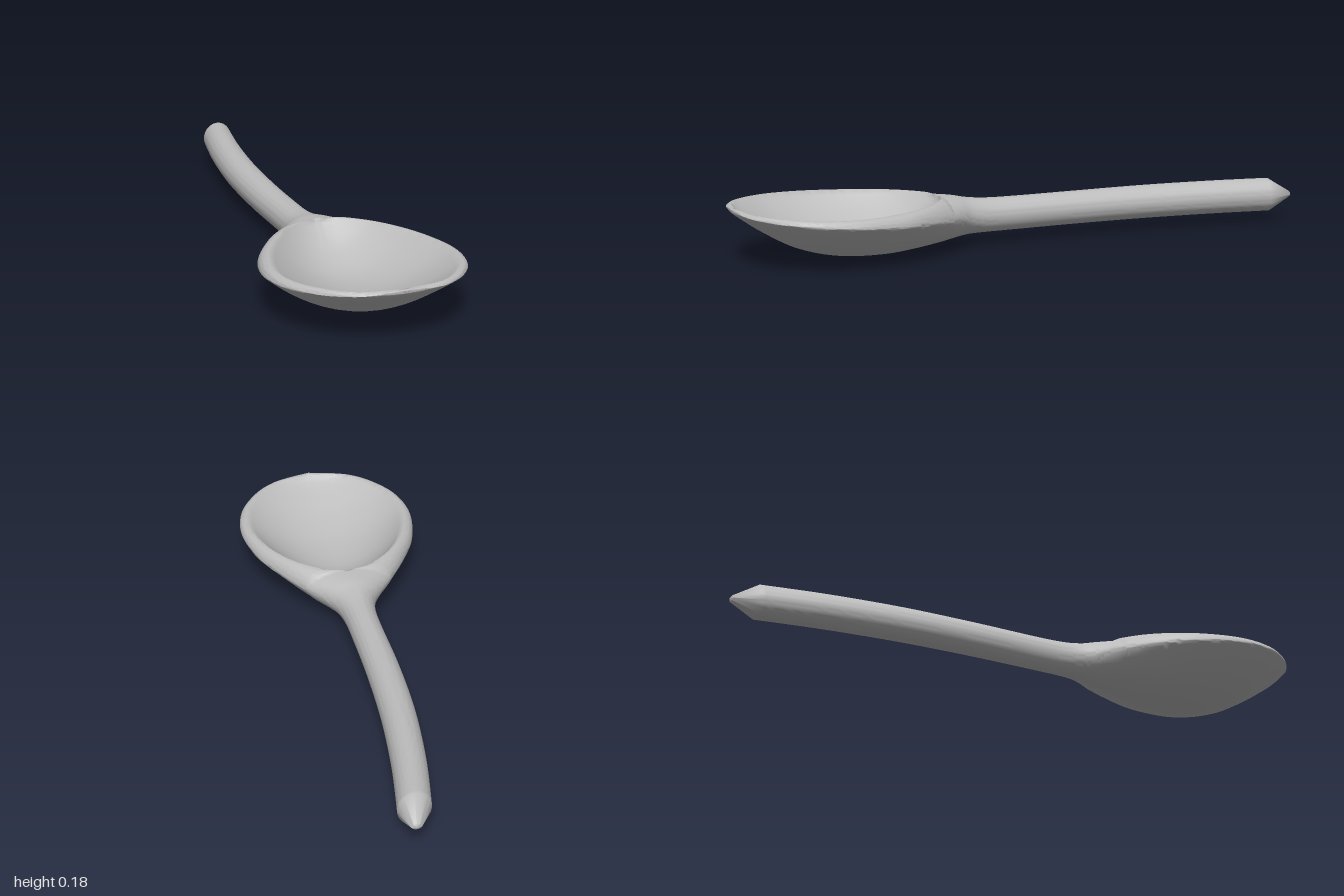
import * as THREE from 'three';
import { toCreasedNormals } from 'three/addons/utils/BufferGeometryUtils.js';

// Cross-section stations along z:
// z, centre x, half width, hollow half width, bottom y, widest y, top y, hollow depth, underside fullness
const handleRows = [
  [-0.915, 0.076, 0.053, 0, 0.036, 0.094, 0.151, 0, 1],
  [-0.7, 0.039, 0.055, 0, 0.036, 0.094, 0.151, 0, 1],
  [-0.45, 0.011, 0.056, 0, 0.036, 0.093, 0.15, 0, 1],
  [-0.2, 0, 0.055, 0, 0.036, 0.093, 0.148, 0, 1],
  [0.02, 0, 0.053, 0, 0.036, 0.093, 0.148, 0, 1],
  [0.13, 0, 0.056, 0, 0.036, 0.094, 0.15, 0, 1],
];
const bowlRows = [
  [0.2, 0, 0.071, 0, 0.035, 0.097, 0.157, 0, 1.1],
  [0.25, 0, 0.102, 0, 0.029, 0.103, 0.167, 0, 1.25],
  [0.3, 0, 0.145, 0, 0.021, 0.109, 0.172, 0, 1.45],
  [0.32, 0, 0.16, 0.07, 0.018, 0.111, 0.172, 0.023, 1.55],
  [0.4, 0, 0.216, 0.165, 0.008, 0.118, 0.171, 0.082, 1.85],
  [0.52, 0, 0.28, 0.24, 0, 0.129, 0.169, 0.116, 2],
  [0.67, 0, 0.311, 0.283, 0.009, 0.143, 0.169, 0.112, 2],
  [0.8, 0, 0.289, 0.265, 0.045, 0.153, 0.172, 0.084, 2],
  [0.9, 0, 0.226, 0.202, 0.1, 0.161, 0.176, 0.048, 2],
  [0.96, 0, 0.155, 0.125, 0.141, 0.167, 0.179, 0.02, 2],
  [0.986, 0, 0.095, 0, 0.16, 0.172, 0.181, 0, 2],
  [1, 0, 0, 0, 0.174, 0.177, 0.181, 0, 2],
];

// Smooth interpolation of every column
function sampleStations(rows, count) {
  const curves = rows[0].map((_, c) => new THREE.SplineCurve(rows.map((r) => new THREE.Vector2(r[0], r[c]))));
  const stations = [];
  for (let i = 0; i <= count; i++) {
    const s = curves.map((curve) => curve.getPoint(i / count).y);
    s[2] = Math.max(s[2], 0);
    s[3] = THREE.MathUtils.clamp(s[3], 0, s[2]);
    if (s[3] < 0.001) s[3] = s[7] = 0;
    s[7] = Math.max(s[7], 0);
    stations.push(s);
  }
  return stations;
}

// Closed section: rounded rim, underside, mirrored rim, then back across the hollow
function sectionRing([z, cx, w, wi, yb, yw, yt, depth, e]) {
  const n = 12, m = 28, half = [], hollow = [];
  for (let j = 0; j <= n; j++) {
    const a = (1 - j / n) * Math.PI / 2;
    half.push([wi + (w - wi) * Math.cos(a), yw + (yt - yw) * Math.sin(a)]);
  }
  for (let j = 1; j <= n; j++) {
    const a = (j / n) * Math.PI / 2;
    half.push([w * Math.cos(a), yw - (yw - yb) * Math.pow(Math.sin(a), e)]);
  }
  const mirrored = half.slice(0, -1).reverse().map(([x, y]) => [-x, y]);
  for (let j = 1; j <= m; j++) {
    const u = (j / m) * 2 - 1;
    hollow.push([u * wi, yt - depth * (1 - u * u)]);
  }
  return [...half, ...mirrored, ...hollow].map(([x, y]) => [cx + x, y, z]);
}

function loft(rings) {
  const m = rings[0].length, index = [];
  for (let i = 0; i < rings.length - 1; i++) {
    for (let j = 0; j < m - 1; j++) {
      const a = i * m + j, b = a + 1, c = a + m, d = c + 1;
      index.push(a, c, b, b, c, d);
    }
  }
  const geo = new THREE.BufferGeometry();
  geo.setAttribute('position', new THREE.Float32BufferAttribute(rings.flat(2), 3));
  geo.setIndex(index);
  return geo;
}

export function createModel() {
  const grey = new THREE.MeshStandardMaterial({ color: 0xbcbcbc });
  grey.name = 'grey';
  const group = new THREE.Group();
  group.name = 'spoon';

  // Blunt pointed end of the handle
  const tip = [
    [-1, 0.09, 0, 0, 0.091, 0.092, 0.093, 0, 1],
    [-0.994, 0.089, 0.016, 0, 0.082, 0.092, 0.103, 0, 1],
  ];

  // Handle, neck and hollowed bowl in one continuous loft
  const stations = [...tip, ...sampleStations([...handleRows, ...bowlRows], 170)];
  const body = new THREE.Mesh(toCreasedNormals(loft(stations.map(sectionRing)), 1), grey);
  body.name = 'handleAndBowl';
  group.add(body);

  return group;
}
